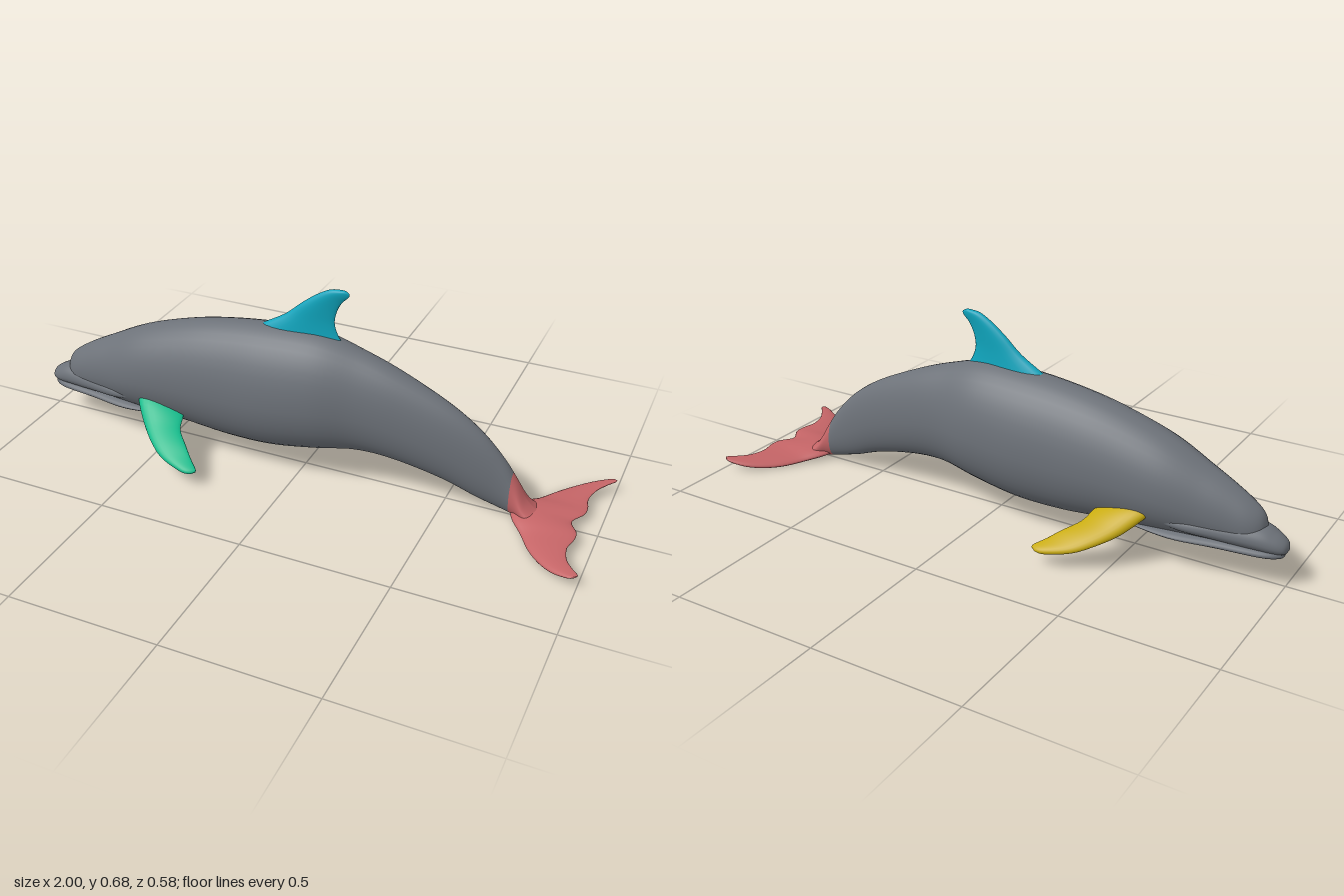
import * as THREE from 'three';

// Catmull-Rom refinement of a list of numeric stations
function refine(list, steps) {
  const out = [];
  const at = i => list[Math.min(Math.max(i, 0), list.length - 1)];
  for (let i = 0; i < list.length - 1; i++) {
    for (let k = 0; k < steps; k++) {
      const t = k / steps;
      out.push(at(i).map((b, c) => {
        const a = at(i - 1)[c], d = at(i + 1)[c], e = at(i + 2)[c];
        return b + 0.5 * t * (d - a + t * (2 * a - 5 * b + 4 * d - e + t * (3 * (b - d) + e - a)));
      }));
    }
  }
  out.push(at(list.length - 1));
  return out;
}

// Smooth closed skin over rings of points, with both ends capped
function loft(rings) {
  const n = rings[0].length, pos = [], index = [];
  rings.forEach(r => r.forEach(p => pos.push(p.x, p.y, p.z)));
  for (let i = 0; i < rings.length - 1; i++) {
    for (let j = 0; j < n; j++) {
      const a = i * n + j, b = i * n + (j + 1) % n;
      index.push(a, a + n, b, b, a + n, b + n);
    }
  }
  [rings[0], rings[rings.length - 1]].forEach((ring, end) => {
    const c = ring.reduce((s, p) => s.add(p), new THREE.Vector3()).divideScalar(n);
    const id = pos.length / 3, base = end ? (rings.length - 1) * n : 0;
    pos.push(c.x, c.y, c.z);
    for (let j = 0; j < n; j++) {
      const a = base + j, b = base + (j + 1) % n;
      if (end) index.push(a, id, b); else index.push(a, b, id);
    }
  });
  const g = new THREE.BufferGeometry();
  g.setAttribute('position', new THREE.Float32BufferAttribute(pos, 3));
  g.setIndex(index);
  g.computeVertexNormals();
  return g;
}

// Upright sections: [x, bottom, top, half width, upper taper]
function trunkRings(stations, sides = 40) {
  return refine(stations, 6).map(([x, y0, y1, w, taper]) => {
    const mid = y0 + (y1 - y0) * 0.44;
    return Array.from({ length: sides }, (_, j) => {
      const a = j / sides * Math.PI * 2, c = Math.cos(a), s = Math.sin(a);
      const z = Math.sign(c) * Math.abs(c) ** (s > 0 ? taper : 0.88) * w;
      return new THREE.Vector3(x, mid + s * (s > 0 ? y1 - mid : mid - y0), z);
    });
  });
}

// Foil sections: [leading edge x y z, trailing edge x y z, half thickness]
function finGeometry(stations, sides = 24) {
  const list = refine(stations, 5);
  const lead = list.map(s => new THREE.Vector3(s[0], s[1], s[2]));
  const trail = list.map(s => new THREE.Vector3(s[3], s[4], s[5]));
  const mid = lead.map((p, i) => p.clone().lerp(trail[i], 0.5));
  return loft(list.map((s, i) => {
    const half = trail[i].clone().sub(lead[i]).multiplyScalar(0.5);
    const span = mid[Math.min(i + 1, mid.length - 1)].clone().sub(mid[Math.max(i - 1, 0)]);
    const normal = half.clone().cross(span).normalize();
    return Array.from({ length: sides }, (_, j) => {
      const a = j / sides * Math.PI * 2, c = Math.cos(a);
      return mid[i].clone().addScaledVector(half, c)
        .addScaledVector(normal, Math.sin(a) * (1 - 0.35 * c) * s[6]);
    });
  }));
}

const mirrorZ = stations => stations.map(([a, b, c, d, e, f, t]) => [a, b, -c, d, e, -f, t]);

export function createModel() {
  const group = new THREE.Group();
  const mat = color => new THREE.MeshStandardMaterial({ color });
  const grey = mat(0x6c7178), blue = mat(0x0fa5bd), green = mat(0x12bc8c);
  const yellow = mat(0xc8ab10), red = mat(0xc46466);
  const add = (name, geometry, material) => {
    const m = new THREE.Mesh(geometry, material);
    m.name = name;
    group.add(m);
  };

  // Body from forehead to tail, split where the tail colour begins
  const rings = trunkRings([
    [-0.93, 0.16, 0.19, 0.005, 1.2], [-0.915, 0.125, 0.23, 0.035, 1.2],
    [-0.88, 0.11, 0.262, 0.057, 1.25], [-0.82, 0.104, 0.3, 0.073, 1.25],
    [-0.74, 0.102, 0.342, 0.092, 1.2], [-0.6, 0.1, 0.41, 0.122, 1.1],
    [-0.42, 0.09, 0.468, 0.136, 1.1], [-0.26, 0.077, 0.5, 0.144, 1.1],
    [-0.1, 0.08, 0.517, 0.149, 1.1], [0.06, 0.104, 0.517, 0.137, 1.1],
    [0.2, 0.128, 0.482, 0.105, 1.1], [0.33, 0.122, 0.435, 0.085, 1],
    [0.49, 0.088, 0.362, 0.063, 1], [0.6, 0.05, 0.29, 0.048, 1],
    [0.68, 0.028, 0.21, 0.037, 1], [0.73, 0.016, 0.14, 0.037, 1.1],
    [0.77, 0.01, 0.075, 0.052, 1.6], [0.82, 0.009, 0.038, 0.06, 1.6],
    [0.88, 0.02, 0.032, 0.03, 1.2],
  ]);
  const body = loft(rings), stock = body.clone();
  const all = Array.from(body.index.array);
  const n = rings[0].length, cut = rings.findIndex(r => r[0].x > 0.71) * n * 6;
  const skin = (rings.length - 1) * n * 6, cap = skin + n * 3;
  body.setIndex([...all.slice(0, cut), ...all.slice(skin, cap)]);
  stock.setIndex([...all.slice(cut, skin), ...all.slice(cap)]);
  add('body', body, grey);
  add('tailStock', stock, red);

  // Beak, whose lips run back along the cheeks
  add('upperJaw', loft(trunkRings([
    [-1, 0.13, 0.14, 0.006, 1], [-0.99, 0.116, 0.158, 0.028, 1],
    [-0.96, 0.113, 0.178, 0.045, 1], [-0.91, 0.114, 0.197, 0.059, 1],
    [-0.8, 0.12, 0.206, 0.081, 1], [-0.68, 0.13, 0.206, 0.102, 1],
    [-0.56, 0.15, 0.19, 0.09, 1],
  ])), grey);
  add('lowerJaw', loft(trunkRings([
    [-0.99, 0.11, 0.116, 0.005, 1], [-0.98, 0.101, 0.128, 0.028, 1],
    [-0.93, 0.098, 0.134, 0.054, 1], [-0.8, 0.1, 0.14, 0.077, 1],
    [-0.65, 0.101, 0.14, 0.1, 1], [-0.5, 0.11, 0.13, 0.08, 1],
  ])), grey);

  // Swept-back dorsal fin
  add('dorsalFin', finGeometry([
    [-0.22, 0.46, 0, 0.17, 0.46, 0, 0.034], [-0.16, 0.508, 0, 0.122, 0.505, 0, 0.025],
    [-0.075, 0.56, 0, 0.1, 0.555, 0, 0.018], [-0.015, 0.612, 0, 0.105, 0.6, 0, 0.015],
    [0.035, 0.65, 0, 0.123, 0.637, 0, 0.013], [0.08, 0.675, 0, 0.145, 0.66, 0, 0.011],
    [0.12, 0.681, 0, 0.148, 0.67, 0, 0.007], [0.135, 0.68, 0, 0.146, 0.674, 0, 0.002],
  ]), blue);

  // Pair of flippers
  const flipper = [
    [-0.6, 0.195, 0.07, -0.42, 0.17, 0.07, 0.022], [-0.58, 0.172, 0.115, -0.405, 0.15, 0.12, 0.022],
    [-0.53, 0.126, 0.17, -0.39, 0.13, 0.165, 0.019], [-0.47, 0.094, 0.225, -0.345, 0.105, 0.21, 0.015],
    [-0.41, 0.07, 0.262, -0.312, 0.083, 0.24, 0.012], [-0.33, 0.054, 0.285, -0.281, 0.065, 0.265, 0.009],
    [-0.295, 0.053, 0.285, -0.277, 0.058, 0.273, 0.003],
  ];
  add('rightFlipper', finGeometry(flipper), green);
  add('leftFlipper', finGeometry(mirrorZ(flipper)), yellow);

  // Tail fluke, notched in the middle
  const fluke = [
    [0.72, 0.03, 0, 0.915, 0.035, 0, 0.016], [0.735, 0.027, 0.05, 0.942, 0.037, 0.05, 0.014],
    [0.78, 0.016, 0.105, 0.945, 0.037, 0.09, 0.012], [0.82, 0.012, 0.165, 0.935, 0.037, 0.14, 0.011],
    [0.865, 0.014, 0.215, 0.947, 0.038, 0.195, 0.01], [0.915, 0.022, 0.255, 0.972, 0.042, 0.235, 0.008],
    [0.965, 0.035, 0.278, 0.995, 0.045, 0.262, 0.005], [0.985, 0.042, 0.281, 0.998, 0.046, 0.272, 0.002],
  ];
  add('tailFluke', finGeometry([...mirrorZ(fluke.slice(1)).reverse(), ...fluke]), red);

  return group;
}
